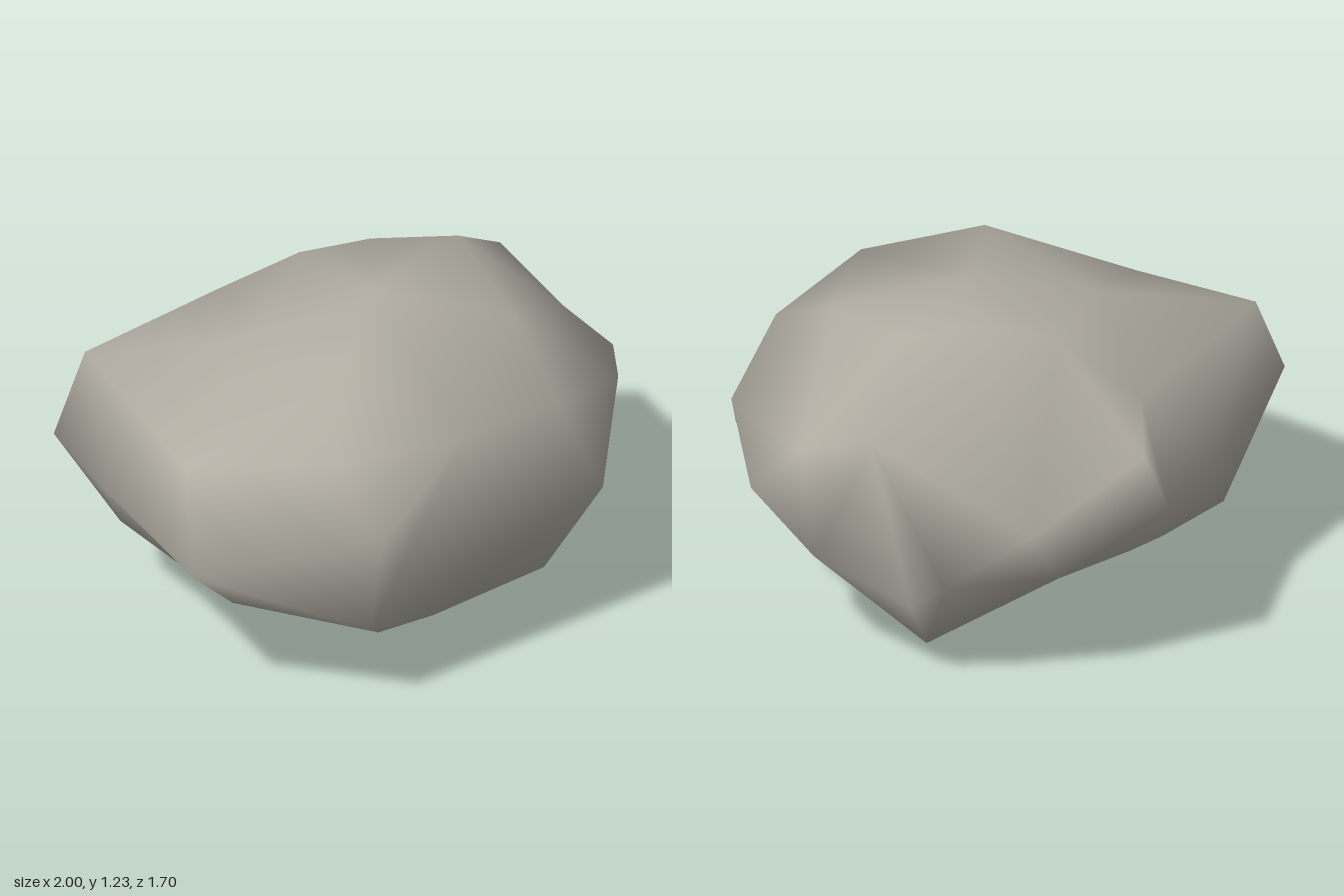
import * as THREE from 'three';
import { mergeVertices } from 'three/addons/utils/BufferGeometryUtils.js';
import { ConvexGeometry } from 'three/addons/geometries/ConvexGeometry.js';

const stone = new THREE.MeshStandardMaterial({ color: 0xb0aca2 });
stone.name = 'stone';

// Corner points of the boulder, in bands from bottom to top
const corners = [
  // underside
  [-0.06, 0, 0.16], [0.52, 0.1, -0.23], [-0.19, 0.14, 0.5], [0.06, 0.11, 0.46],
  [0.47, 0.2, 0.52], [0.55, 0.21, 0.16], [-0.33, 0.18, -0.28], [0.1, 0.29, -0.43],
  [-0.62, 0.27, 0.25], [-0.67, 0.3, -0.38], [-0.39, 0.34, 0.76],
  [0.69, 0.35, -0.35], [0.64, 0.46, -0.48], [-0.2, 0.43, -0.62], [0.83, 0.45, 0],
  // waist
  [1, 0.72, 0.13], [0.79, 0.84, 0.49], [0.58, 0.58, 0.72], [-0.4, 0.73, 0.85],
  [-0.91, 0.56, 0.45], [-1, 0.73, 0.04], [-0.94, 0.73, -0.38], [-0.45, 0.6, -0.57],
  [-0.04, 0.69, -0.85], [-0.03, 0.84, -0.73], [0.48, 0.71, -0.74], [0.87, 0.86, 0.02],
  // crown: a ridge runs across the front right, with a dent behind it
  [0.8, 0.99, -0.27], [0.5, 1.21, -0.07], [0.23, 1.22, -0.2], [0.04, 1.225, 0.11],
  [0.03, 1.16, -0.34], [-0.15, 0.96, -0.57], [-0.82, 1.02, -0.37],
  [-0.39, 1.08, -0.06], [-0.82, 0.87, 0.27], [-0.29, 1.16, 0.44], [-0.46, 0.96, 0.66],
  [-0.04, 1.0, 0.8], [0.42, 0.95, 0.7], [0.45, 1.13, 0.36],
].map((p) => new THREE.Vector3(...p));

// Triangulate the corner directions on a sphere, then push each out to its corner
function boulderGeometry() {
  const centre = new THREE.Vector3(0, 0.65, 0);
  const directions = corners.map((p) => p.clone().sub(centre).normalize());
  let geometry = new ConvexGeometry(directions);
  const position = geometry.attributes.position;
  const v = new THREE.Vector3();
  for (let i = 0; i < position.count; i++) {
    v.fromBufferAttribute(position, i);
    let best = 0;
    directions.forEach((d, k) => {
      if (d.dot(v) > directions[best].dot(v)) best = k;
    });
    position.setXYZ(i, ...corners[best].toArray());
  }
  // share vertices so the stone shades smoothly
  geometry.deleteAttribute('normal');
  geometry = mergeVertices(geometry);
  geometry.computeVertexNormals();
  return geometry;
}

export function createModel() {
  const group = new THREE.Group();
  group.name = 'rock';
  const boulder = new THREE.Mesh(boulderGeometry(), stone);
  boulder.name = 'boulder';
  group.add(boulder);
  return group;
}
